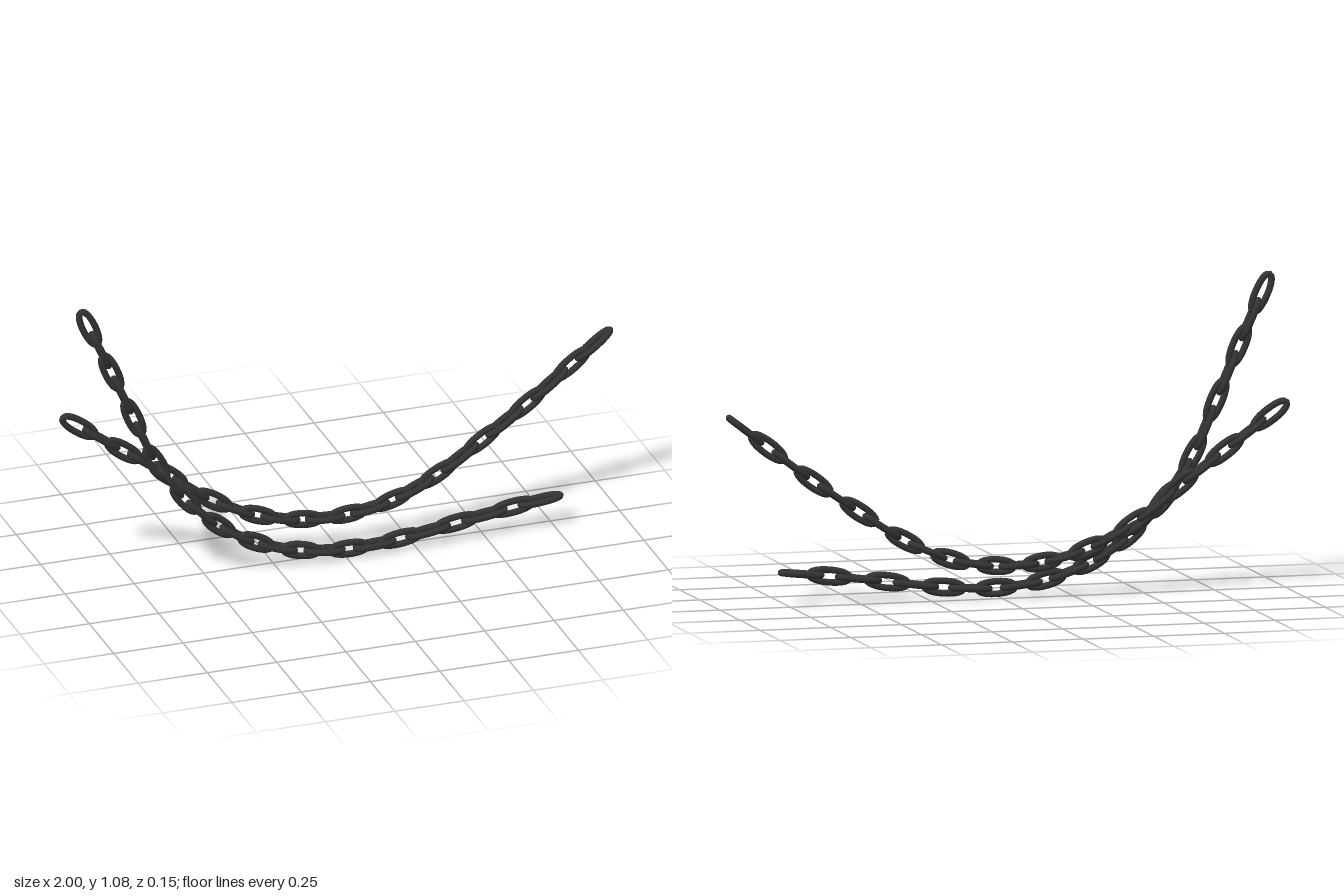
import * as THREE from 'three';

const ROD = 0.0115;        // rod radius of a link
const HALF_WIDTH = 0.0215; // half width of the rod's centreline

// Closed oval outline a link's rod follows, long axis along x
class LinkCurve extends THREE.Curve {
  constructor(halfLength) {
    super();
    this.halfLength = halfLength;
  }
  getPoint(t, target = new THREE.Vector3()) {
    const a = t * Math.PI * 2;
    const bulge = (v) => Math.sign(v) * Math.pow(Math.abs(v), 0.92);
    return target.set(this.halfLength * bulge(Math.cos(a)), HALF_WIDTH * bulge(Math.sin(a)), 0);
  }
}

function makeLink(length, material) {
  const curve = new LinkCurve(length / 2 - ROD);
  return new THREE.Mesh(new THREE.TubeGeometry(curve, 36, ROD, 10, true), material);
}

// Hangs links along a curve; the points mark every second link
function makeChain(name, points, z, material) {
  const chain = new THREE.Group();
  chain.name = name;
  const path = new THREE.CatmullRomCurve3(points.map(([x, y]) => new THREE.Vector3(x, y, z)));
  const count = (points.length - 1) * 2;
  for (let i = 0; i < count; i++) {
    const before = path.getPoint(Math.max(i - 0.5, 0) / count);
    const after = path.getPoint((i + 0.5) / count);
    const step = after.clone().sub(before);
    const pitch = step.length() / (i === 0 ? 0.5 : 1);
    const link = makeLink(pitch + 0.066, material);
    link.name = 'link' + (i + 1);
    link.position.copy(path.getPoint(i / count));
    // every other link is turned a quarter about the chain
    link.rotation.set(i % 2 ? Math.PI / 2 : 0, 0, Math.atan2(step.y, step.x), 'ZXY');
    chain.add(link);
  }
  return chain;
}

export function createModel() {
  const model = new THREE.Group();
  model.name = 'hangingChains';
  const iron = new THREE.MeshStandardMaterial({ color: 0x333333 });

  // Back chain: evenly spaced in x, both ends raised
  const backHeights = [0.603, 0.487, 0.37, 0.25, 0.169, 0.128, 0.122, 0.151, 0.222, 0.326, 0.437, 0.56, 0.685];
  const backPoints = backHeights.map((y, k) => [-0.935 + 0.1615 * k, y]);
  model.add(makeChain('backChain', backPoints, -0.042, iron));

  // Front chain: steep on one side, nearly flat on the other
  const frontPoints = [
    [-0.928, 1.01], [-0.848, 0.832], [-0.768, 0.648], [-0.685, 0.465], [-0.58, 0.312],
    [-0.46, 0.195], [-0.325, 0.11], [-0.165, 0.055], [0.01, 0.034], [0.195, 0.043],
    [0.395, 0.07], [0.6, 0.097], [0.8, 0.118],
  ];
  model.add(makeChain('frontChain', frontPoints, 0.042, iron));
  return model;
}
